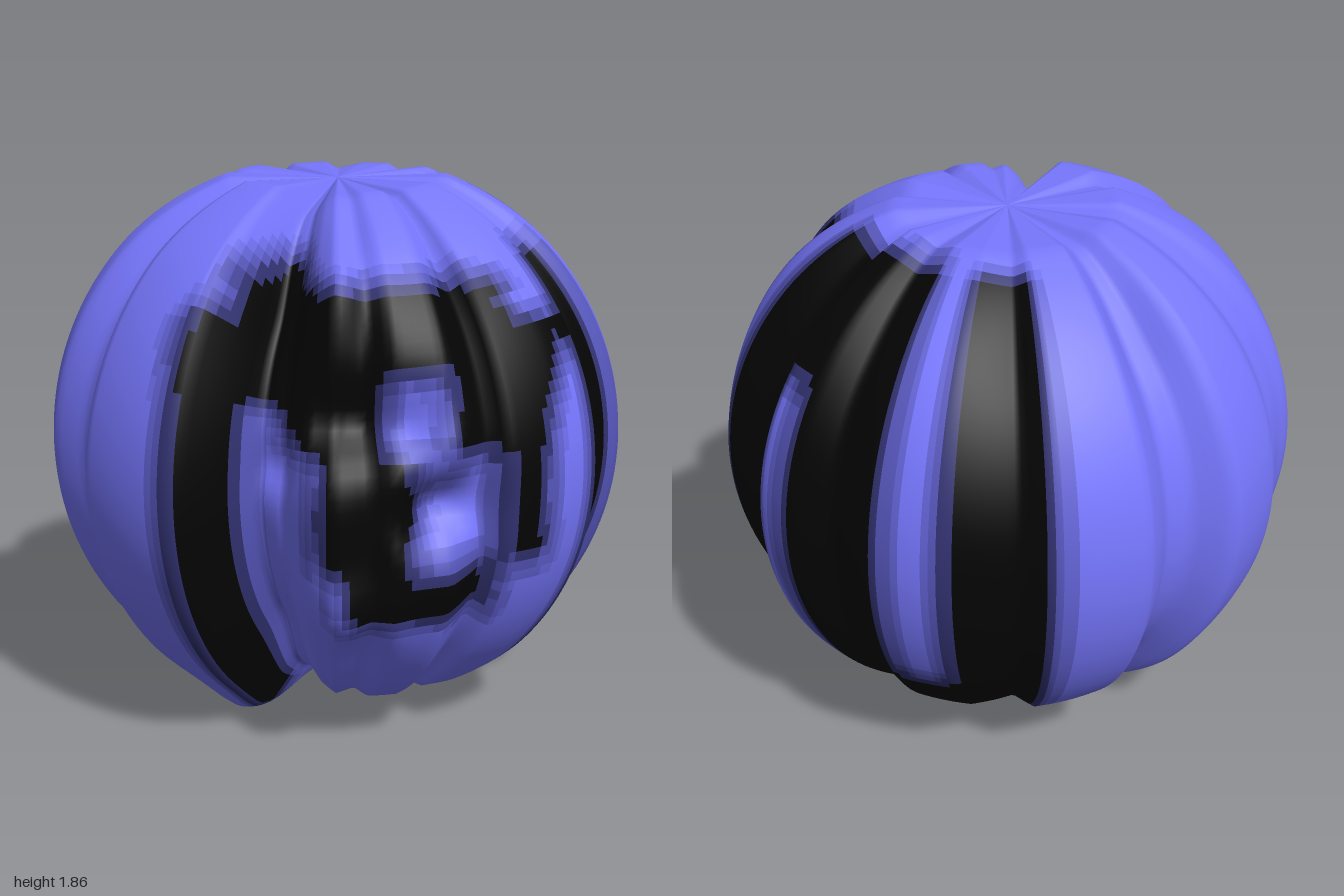
import * as THREE from 'three';

// Outline of the ribbed ball seen from above: [degrees from +z towards +x, radius]
const OUTLINE = [
  [-2.2, 0.78], [4.5, 0.893], [10.3, 0.955], [17.6, 0.923], [22.9, 0.977], [33.8, 0.987], [43.2, 0.905],
  [46, 0.976], [58.8, 1], [69, 1.007], [74.8, 0.953], [80.6, 0.917], [88, 0.96], [91, 1],
  [107.5, 0.996], [116.6, 0.894], [122.8, 0.868], [132.5, 0.99], [142, 0.976], [150.3, 0.909],
  [162, 0.977], [177, 0.971], [191.3, 0.918], [198, 0.977], [217.5, 0.97], [226, 0.863],
  [232.9, 0.878], [239, 0.99], [255.4, 0.992], [265, 0.943], [273, 0.971], [277.4, 1.008],
  [296.3, 1.015], [305, 0.94], [312.4, 0.934], [317.8, 1.026], [340, 1.022], [350.5, 0.73], [357.8, 0.78],
];
// Dark stripes: [from degree, to degree, polar start, polar end]
const STRIPES = [
  [67, 90, 41, 156], [105, 131, 29, 154], [97, 105, 128, 152], [131, 138, 27, 60], [138, 165, 26, 154],
  [165, 175, 118, 152], [175, 199, 27, 154], [337, 349.5, 52, 156],
];
// Dark face patches on the front and the light gaps in them: [x0, x1, y0, y1]
const FACE = [
  [-0.38, -0.2, 0.9, 1.5], [-0.22, 0.02, 1.1, 1.66], [0, 0.64, 1.08, 1.62], [0.64, 0.82, 0.7, 1.5],
  [0.09, 0.42, 0.72, 1.12], [0.18, 0.66, 0.53, 0.74],
];
const GAPS = [[0.32, 0.5, 1.12, 1.34], [-0.16, -0.06, 0.9, 1.2]];
// Hollows (positive) and bulges (negative) of the face: [x, y, spread, depth]
const RELIEF = [
  [0.53, 0.92, 0.13, 0.17], [0.42, 1.22, 0.12, 0.09], [0.2, 1.25, 0.15, 0.12], [-0.06, 1.05, 0.1, 0.04],
  [0.15, 1.62, 0.12, -0.05], [0.22, 0.57, 0.13, -0.075],
];

const CENTRE = 0.945, POLE = 0.9, COLS = 240, ROWS = 80, TONES = 7;
const { lerp, smoothstep, degToRad } = THREE.MathUtils;
const inside = ([x0, x1, y0, y1], x, y) => x >= x0 && x <= x1 && y >= y0 && y <= y1;

function outlineRadius(deg) {
  for (let i = 0; i < OUTLINE.length - 1; i++) {
    const [a, ra] = OUTLINE[i], [b, rb] = OUTLINE[i + 1];
    if (deg >= a && deg <= b) return lerp(ra, rb, (deg - a) / (b - a));
  }
  return OUTLINE[0][1];
}

function surfacePoint(deg, polar) {
  // The caps run straight from a rim to the pole
  const rim = polar < 90 ? 22.5 : 32;
  const fromPole = Math.min(polar, 180 - polar), cap = Math.min(1, fromPole / rim);
  const bodyPolar = polar < 90 ? Math.max(polar, rim) : Math.min(polar, 180 - rim);
  const p = degToRad(bodyPolar), a = degToRad(deg);
  const dir = new THREE.Vector3(Math.sin(p) * Math.sin(a), Math.cos(p), Math.sin(p) * Math.cos(a));
  // Ribs get shallower towards the caps
  let r = lerp(0.975, outlineRadius(deg), 0.4 + 0.6 * smoothstep(fromPole, 18, 50));
  if (dir.z > 0) {
    for (const [x, y, s, depth] of RELIEF) {
      const d2 = (dir.x - x) ** 2 + (dir.y + CENTRE - y) ** 2;
      r -= depth * Math.exp(-d2 / (s * s));
    }
  }
  const point = dir.multiplyScalar(r);
  const pole = new THREE.Vector3(0, polar < 90 ? POLE : -POLE, 0);
  point.lerp(pole, 1 - cap);
  // Low foot under the front right rib
  if (polar > 90) point.y -= 0.085 * Math.exp(-(((deg - 328) / 16) ** 2) - ((fromPole - 26) / 11) ** 2);
  point.y += CENTRE;
  return point;
}

function isDark(deg, polar) {
  if (STRIPES.some(s => inside(s, deg, polar))) return true;
  const p = surfacePoint(deg, polar);
  if (p.z < 0.2 || GAPS.some(g => inside(g, p.x, p.y))) return false;
  return FACE.some(f => inside(f, p.x, p.y));
}

// Share of dark samples around a spot, for soft stripe edges
function darkness(deg, polar) {
  let sum = 0;
  for (const u of [-3, -1, 1, 3]) {
    for (const v of [-3, -1, 1, 3]) sum += isDark((deg + u + 360) % 360, polar + v) ? 1 : 0;
  }
  return sum / 16;
}

export function createModel() {
  const group = new THREE.Group();
  group.name = 'ribbedBall';

  // Shared surface grid
  const positions = [];
  for (let j = 0; j <= ROWS; j++) {
    for (let i = 0; i < COLS; i++) {
      positions.push(...surfacePoint(i * 360 / COLS, j * 180 / ROWS).toArray());
    }
  }

  // Sort the cells by tone, from light shell to dark markings
  const tones = Array.from({ length: TONES }, () => []);
  for (let j = 0; j < ROWS; j++) {
    for (let i = 0; i < COLS; i++) {
      const level = darkness((i + 0.5) * 360 / COLS, (j + 0.5) * 180 / ROWS);
      const list = tones[Math.round(level * (TONES - 1))];
      const k = (i + 1) % COLS;
      const a = j * COLS + i, b = j * COLS + k, c = a + COLS, d = b + COLS;
      if (j > 0) list.push(a, c, b);
      if (j < ROWS - 1) list.push(b, c, d);
    }
  }

  // Smooth normals come from the whole surface, so the markings blend in
  const surface = new THREE.BufferGeometry();
  surface.setAttribute('position', new THREE.Float32BufferAttribute(positions, 3));
  surface.setIndex(tones.flat());
  surface.computeVertexNormals();

  const lightColor = new THREE.Color(0x7777ff), darkColor = new THREE.Color(0x040404);
  tones.forEach((index, n) => {
    const geometry = surface.clone();
    geometry.setIndex(index);
    const color = lightColor.clone().lerp(darkColor, n / (TONES - 1));
    const mesh = new THREE.Mesh(geometry, new THREE.MeshStandardMaterial({ color }));
    mesh.name = n === 0 ? 'ribbedShell' : n === TONES - 1 ? 'darkMarkings' : `stripeEdge${n}`;
    group.add(mesh);
  });
  return group;
}
